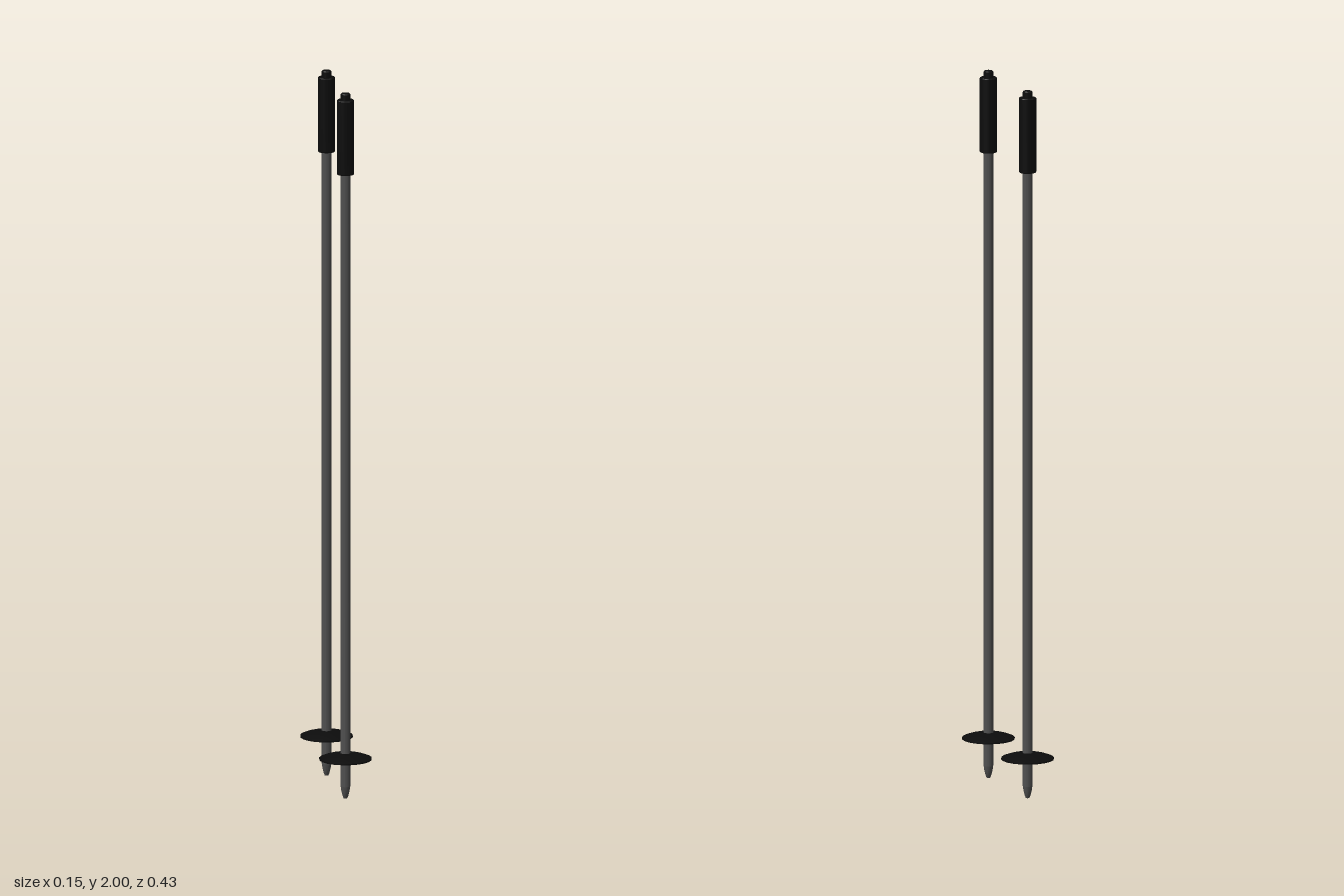
import * as THREE from 'three';
import { toCreasedNormals } from 'three/addons/utils/BufferGeometryUtils.js';

const SIDES = 20;
const shaftMaterial = new THREE.MeshStandardMaterial({ color: 0x505050 });
const blackMaterial = new THREE.MeshStandardMaterial({ color: 0x0c0c0c });

// Turned part from [radius, height] pairs, listed bottom to top on the outside
function turned(name, profile, material) {
  const points = profile.map(([r, y]) => new THREE.Vector2(r, y));
  const geometry = toCreasedNormals(new THREE.LatheGeometry(points, SIDES), 0.6);
  const mesh = new THREE.Mesh(geometry, material);
  mesh.name = name;
  return mesh;
}

function createPole(name) {
  const pole = new THREE.Group();
  pole.name = name;

  // Long tube
  pole.add(turned('shaft', [[0, 0.035], [0.0135, 0.035], [0.0135, 1.79], [0, 1.79]], shaftMaterial));

  // Blunt tapered point
  pole.add(turned('tip', [[0, 0], [0.005, 0.001], [0.008, 0.008], [0.0115, 0.022], [0.0135, 0.036]], shaftMaterial));

  // Shallow domed disc, hollow underneath
  pole.add(turned('basket', [
    [0.0135, 0.122], [0.04, 0.119], [0.073, 0.111], [0.073, 0.115],
    [0.057, 0.121], [0.038, 0.126], [0.018, 0.129], [0.0135, 0.129],
  ], blackMaterial));

  // Handle and the small knob on top of it
  pole.add(turned('grip', [
    [0, 1.77], [0.0225, 1.77], [0.024, 1.772], [0.024, 1.979], [0.0225, 1.981], [0, 1.981],
  ], blackMaterial));
  pole.add(turned('gripCap', [
    [0.0135, 1.98], [0.0135, 1.997], [0.011, 2], [0, 2],
  ], blackMaterial));

  return pole;
}

export function createModel() {
  const model = new THREE.Group();
  model.name = 'skiPoles';
  for (const [name, z] of [['frontPole', 0.14], ['backPole', -0.14]]) {
    const pole = createPole(name);
    pole.position.z = z;
    model.add(pole);
  }
  return model;
}
